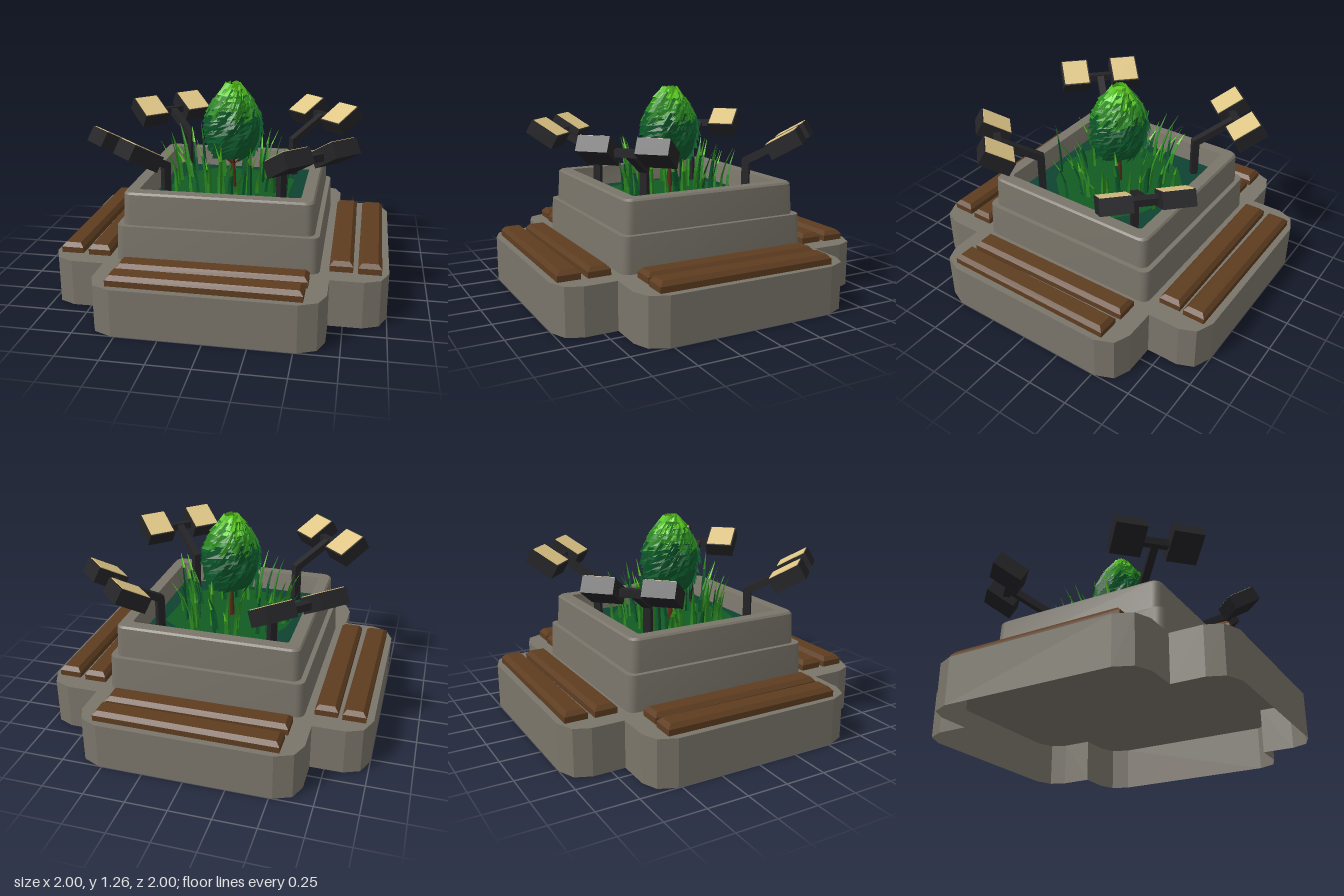
import * as THREE from 'three';
import { toCreasedNormals, mergeGeometries } from 'three/addons/utils/BufferGeometryUtils.js';

const mat = (name, color, side = THREE.FrontSide, flatShading = false) => {
  const m = new THREE.MeshStandardMaterial({ color, side, flatShading });
  m.name = name;
  return m;
};

// Skin a stack of rings; each ring is a list of [x, y, z] running from +x towards +z
function loft(rings, crease) {
  const n = rings[0].length, index = [];
  for (let r = 0; r < rings.length - 1; r++) {
    for (let i = 0; i < n; i++) {
      const j = (i + 1) % n, a = r * n, b = a + n;
      index.push(a + i, b + i, a + j, a + j, b + i, b + j);
    }
  }
  const g = new THREE.BufferGeometry();
  g.setAttribute('position', new THREE.Float32BufferAttribute(rings.flat(2), 3));
  g.setIndex(index);
  return toCreasedNormals(g, crease);
}

function triangles(points) {
  const g = new THREE.BufferGeometry();
  g.setAttribute('position', new THREE.Float32BufferAttribute(points.flat(), 3));
  g.computeVertexNormals();
  return g;
}

const rectRing = (w, d, y) => [[w, y, -d], [w, y, d], [-w, y, d], [-w, y, -d]];

// Square ring with rounded corners
function roundRing(half, y, r = 0.05) {
  const ring = [];
  for (let q = 0; q < 4; q++) {
    const c = Math.PI / 4 + q * Math.PI / 2;
    const cx = Math.sign(Math.cos(c)) * (half - r), cz = Math.sign(Math.sin(c)) * (half - r);
    for (let k = 0; k <= 4; k++) {
      const a = q * Math.PI / 2 + k * Math.PI / 8;
      ring.push([cx + r * Math.cos(a), y, cz + r * Math.sin(a)]);
    }
  }
  return ring;
}

export function createModel() {
  const model = new THREE.Group();
  const D = THREE.DoubleSide;
  const concrete = mat('concrete', 0x7a756a, D);
  const wood = mat('wood', 0x5e3d20);
  const metal = mat('black metal', 0x242427);
  const lens = mat('lamp glass', 0xdfc686);
  const soil = mat('dark ground', 0x0f4331, D);
  const turf = mat('turf', 0x125a23, D);
  const bark = mat('bark', 0x5a2c1a);
  const leafDark = mat('dark leaf', 0x0d5a2c, D, true);
  const leafMid = mat('mid leaf', 0x2c8c22, D, true);
  const leafLight = mat('light leaf', 0x5fd322, D, true);

  let seed = 7;
  const rand = () => (seed = (seed * 16807) % 2147483647) / 2147483647;

  const add = (name, geometry, material, parent = model) => {
    const m = new THREE.Mesh(geometry, material);
    m.name = name;
    parent.add(m);
    return m;
  };
  // Square bar between two points
  const bar = (name, from, to, size, material, parent) => {
    const a = new THREE.Vector3(...from), b = new THREE.Vector3(...to);
    const m = add(name, new THREE.BoxGeometry(size, size, a.distanceTo(b)), material, parent);
    m.position.copy(a).add(b).multiplyScalar(0.5);
    m.quaternion.setFromUnitVectors(new THREE.Vector3(0, 0, 1), b.sub(a).normalize());
    return m;
  };

  // Cross-shaped plinth, open underneath
  const H = 0.285;
  const quarter = [[1, 0.52], [0.955, 0.625], [0.86, 0.665], [0.665, 0.665], [0.665, 0.86], [0.625, 0.955], [0.52, 1]];
  const outline = [];
  for (let q = 0, pts = quarter; q < 4; q++, pts = pts.map(([x, z]) => [-z, x])) outline.push(...pts);
  add('plinthWall', loft([0, H].map(y => outline.map(([x, z]) => [x, y, z])), 0.1), concrete);
  const top = new THREE.ShapeGeometry(new THREE.Shape(outline.map(([x, z]) => new THREE.Vector2(x, -z))));
  add('plinthTop', top.rotateX(-Math.PI / 2).translate(0, H, 0), concrete);

  // Stepped planter wall with a rim
  const SOIL = 0.58;
  add('planter', loft([
    roundRing(0.605, H), roundRing(0.597, 0.5), roundRing(0.568, 0.5), roundRing(0.56, 0.685),
    roundRing(0.55, 0.697), roundRing(0.48, 0.697, 0.02), roundRing(0.46, SOIL, 0.01),
  ], 0.6), concrete);
  add('soil', new THREE.PlaneGeometry(0.94, 0.94).rotateX(-Math.PI / 2).translate(0, SOIL, 0), soil);
  const patch = new THREE.CircleGeometry(0.4, 13);
  const pp = patch.attributes.position;
  for (let i = 1; i < pp.count - 1; i++) {
    const k = 0.92 + 0.16 * rand();
    pp.setXY(i, pp.getX(i) * k, pp.getY(i) * k);
  }
  pp.setXY(pp.count - 1, pp.getX(1), pp.getY(1));
  add('turfPatch', patch.rotateX(-Math.PI / 2).translate(0, SOIL + 0.008, 0), turf);

  // Two bench planks on each side
  const plank = loft([rectRing(0.55, 0.068, 0), rectRing(0.55, 0.068, 0.035),
    rectRing(0.528, 0.046, 0.06), rectRing(0, 0, 0.06)], 0.1);
  for (let side = 0; side < 4; side++) {
    const bench = new THREE.Group();
    bench.name = 'bench';
    bench.rotation.y = side * Math.PI / 2;
    model.add(bench);
    [0.725, 0.893].forEach((z, i) => {
      const p = add('benchPlank', plank, wood, bench);
      p.position.set(i ? -0.005 : 0.005, H, z);
      p.rotation.y = i ? -0.006 : 0.004;
    });
  }

  // Twin floodlights leaning over each corner
  for (let k = 0; k < 4; k++) {
    const lamp = new THREE.Group();
    lamp.name = 'cornerLamp';
    lamp.rotation.y = Math.PI / 4 + k * Math.PI / 2;
    model.add(lamp);
    bar('lampPost', [0, SOIL, 0.495], [0, 0.825, 0.495], 0.045, metal, lamp);
    bar('lampArm', [0, 0.81, 0.485], [0, 0.95, 0.745], 0.045, metal, lamp);
    bar('lampCrossbar', [-0.1, 0.95, 0.75], [0.1, 0.95, 0.75], 0.045, metal, lamp);
    for (const s of [-1, 1]) {
      const head = new THREE.Group();
      head.name = 'lampHead';
      head.position.set(s * 0.17, 0.96, 0.765);
      head.rotation.x = -Math.PI / 6;
      lamp.add(head);
      add('lampBody', new THREE.BoxGeometry(0.185, 0.095, 0.2), metal, head);
      add('lampGlass', new THREE.BoxGeometry(0.168, 0.006, 0.183), lens, head).position.y = 0.049;
    }
  }

  // Tree trunk with forked branches
  add('trunk', new THREE.CylinderGeometry(0.014, 0.022, 0.2, 6).translate(0, SOIL + 0.1, 0), bark);
  for (let k = 0; k < 5; k++) {
    const a = k * Math.PI * 0.4;
    bar('branch', [0, 0.74, 0], [0.1 * Math.cos(a), 0.83, 0.1 * Math.sin(a)], 0.013, bark);
  }

  // Swirling crown: a core and rings of twisted pointed leaves in three shades
  const radius = t => 0.183 * Math.pow(Math.sin(Math.PI * (0.17 + 0.79 * Math.min(1, Math.max(0, t)))), 0.62);
  const height = t => 0.8 + 0.44 * t;
  const polar = (r, y, a) => [r * Math.cos(a), y, r * Math.sin(a)];
  const bands = [['crownLower', leafDark, 0, 0.58], ['crownMiddle', leafMid, 0.58, 0.82], ['crownTop', leafLight, 0.82, 1]];
  for (const [name, material, t0, t1] of bands) {
    const profile = [0, 0.25, 0.5, 0.75, 1].map(k => t0 + (t1 - t0) * k)
      .map(t => new THREE.Vector2(radius(t) - 0.012, height(t)));
    if (t0 === 0) profile.unshift(new THREE.Vector2(0, 0.79));
    if (t1 === 1) profile.push(new THREE.Vector2(0, 1.245));
    const core = new THREE.LatheGeometry(profile, 14).toNonIndexed();
    core.deleteAttribute('uv');
    const tris = [];
    for (let t = t0 + 0.02; t < t1 + 0.01; t += 0.075) {
      for (let i = 0; i < 12; i++) {
        const a = (i + rand()) * Math.PI / 6, t2 = t + 0.13, w = 0.34;
        const tip = polar(radius(t) + 0.008 + 0.012 * rand(), height(t) - 0.01 - 0.025 * rand(), a + 0.65);
        const b0 = polar(radius(t2) - 0.008, Math.min(height(t2), 1.255), a - w);
        const b1 = polar(radius(t2) - 0.004, Math.min(height(t2) + 0.015 * rand(), 1.265), a + w);
        const low = polar(radius(t) - 0.006, height(t), a - w * 0.3);
        tris.push(b0, b1, tip, b0, tip, low);
      }
    }
    add(name, mergeGeometries([core, triangles(tris)]), material);
  }

  // Curved tapering grass blades leaning outwards
  const dark = [], mid = [], light = [];
  for (let i = 0; i < 46; i++) {
    const a = i * 2.4 + rand() * 0.4, r0 = 0.2 + 0.19 * rand();
    const lean = 0.03 + 0.09 * rand(), h = 0.2 + 0.18 * rand(), w = 0.013 + 0.007 * rand();
    const turn = a + (rand() - 0.5) * 1.2;
    const point = (s, side) => {
      const out = lean * s * s, wide = side * w * (1 - 0.9 * s * s);
      return [
        r0 * Math.cos(a) + out * Math.cos(turn) - wide * Math.sin(turn),
        SOIL + h * s,
        r0 * Math.sin(a) + out * Math.sin(turn) + wide * Math.cos(turn),
      ];
    };
    const list = i % 3 === 0 ? dark : mid;
    const upper = i % 2 === 0 ? light : mid;
    [0, 0.4, 0.7].forEach((s, k) => {
      const e = [0.4, 0.7, 1][k], target = k === 2 ? upper : list;
      const [l0, r, l1, r1] = [point(s, -1), point(s, 1), point(e, -1), point(e, 1)];
      // A raised spine gives each blade a folded section
      const fold = (p, q, f) => p.map((v, c) => (v + q[c]) / 2 + f * [Math.cos(turn), 0, Math.sin(turn)][c]);
      const m0 = fold(l0, r, w * (1 - s)), m1 = fold(l1, r1, w * (1 - e));
      target.push(l0, l1, m0, m0, l1, m1, m0, m1, r, r, m1, r1);
    });
  }
  add('grassDark', triangles(dark), leafDark);
  add('grassMid', triangles(mid), leafMid);
  add('grassTips', triangles(light), leafLight);

  return model;
}
